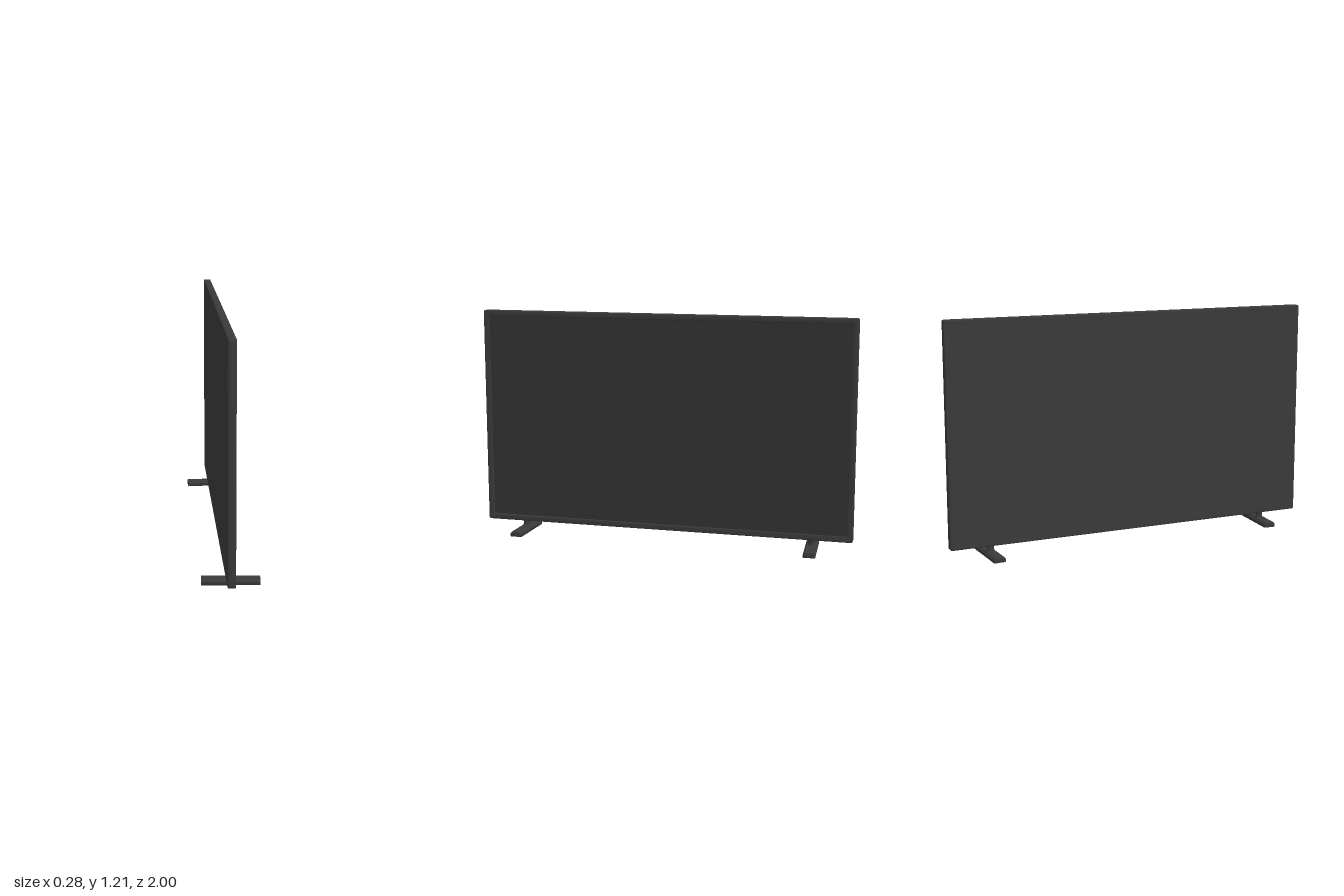
import * as THREE from 'three';
import { toCreasedNormals } from 'three/addons/utils/BufferGeometryUtils.js';

const frameMat = new THREE.MeshStandardMaterial({ color: 0x3a3a3a });
const screenMat = new THREE.MeshStandardMaterial({ color: 0x323232 });

// Rounded rectangle path centred on (0, cy)
function roundedRect(Path, w, h, cy, r) {
  const p = new Path(), x = w / 2, a = cy - h / 2, b = cy + h / 2;
  p.moveTo(-x + r, a);
  p.lineTo(x - r, a).quadraticCurveTo(x, a, x, a + r);
  p.lineTo(x, b - r).quadraticCurveTo(x, b, x - r, b);
  p.lineTo(-x + r, b).quadraticCurveTo(-x, b, -x, b - r);
  p.lineTo(-x, a + r).quadraticCurveTo(-x, a, -x + r, a);
  return p;
}

// Extrude a bevelled shape along x, from x0 to x1
function extrudeAlongX(shape, x0, x1, bevel) {
  const g = new THREE.ExtrudeGeometry(shape, {
    depth: x1 - x0 - 2 * bevel, bevelThickness: bevel, bevelSize: bevel,
    bevelOffset: -bevel, bevelSegments: 3, curveSegments: 6,
  });
  g.translate(0, 0, x0 + bevel).rotateY(Math.PI / 2);
  return toCreasedNormals(g, 0.6);
}

function addMesh(parent, name, geometry, material) {
  const mesh = new THREE.Mesh(geometry, material);
  mesh.name = name;
  parent.add(mesh);
  return mesh;
}

// Foot bar with sloped shoulders, plus the short flared neck under the panel
function makeFoot(name, side) {
  const foot = new THREE.Group();
  foot.name = name;
  const profile = new THREE.Shape([
    [-0.030, 0], [0.030, 0], [0.032, 0.004], [0.032, 0.017],
    [0.022, 0.028], [-0.022, 0.028], [-0.032, 0.017], [-0.032, 0.004],
  ].map(([x, y]) => new THREE.Vector2(x, y)));
  const bar = addMesh(foot, 'footBar', extrudeAlongX(profile, -0.141, 0.141, 0.002), frameMat);
  bar.rotation.y = -side * 0.055;

  const neckProfile = [[0.023, 0.024], [0.021, 0.030], [0.018, 0.036], [0.018, 0.050], [0.020, 0.064]]
    .map(([x, y]) => new THREE.Vector2(x, y));
  const neck = addMesh(foot, 'footNeck', new THREE.LatheGeometry(neckProfile, 24), frameMat);
  neck.scale.x = 0.72;
  neck.position.x = -0.01;

  foot.position.z = side * 0.786;
  return foot;
}

export function createModel() {
  const model = new THREE.Group();
  model.name = 'flatScreenDisplay';
  const cy = 0.633, width = 2, height = 1.154, border = 0.031;
  const back = -0.029, front = 0.0095;

  // Bezel with a rounded outer edge and a bevelled opening
  const bezel = roundedRect(THREE.Shape, width, height, cy, 0.012);
  bezel.holes.push(roundedRect(THREE.Path, width - 2 * border, height - 2 * border, cy, 0.008));
  addMesh(model, 'bezel', extrudeAlongX(bezel, back, front, 0.004), frameMat);

  // Flat back panel closing the rear of the bezel
  const pw = width - 2 * border + 0.02, ph = height - 2 * border + 0.02;
  const backPanel = addMesh(model, 'backPanel', new THREE.BoxGeometry(0.02, ph, pw), frameMat);
  backPanel.position.set(back + 0.0098, cy, 0);

  // Recessed screen
  const screen = addMesh(model, 'screen', new THREE.BoxGeometry(0.014, ph - 0.01, pw - 0.01), screenMat);
  screen.position.set(-0.004, cy, 0);

  model.add(makeFoot('leftFoot', 1), makeFoot('rightFoot', -1));
  return model;
}
